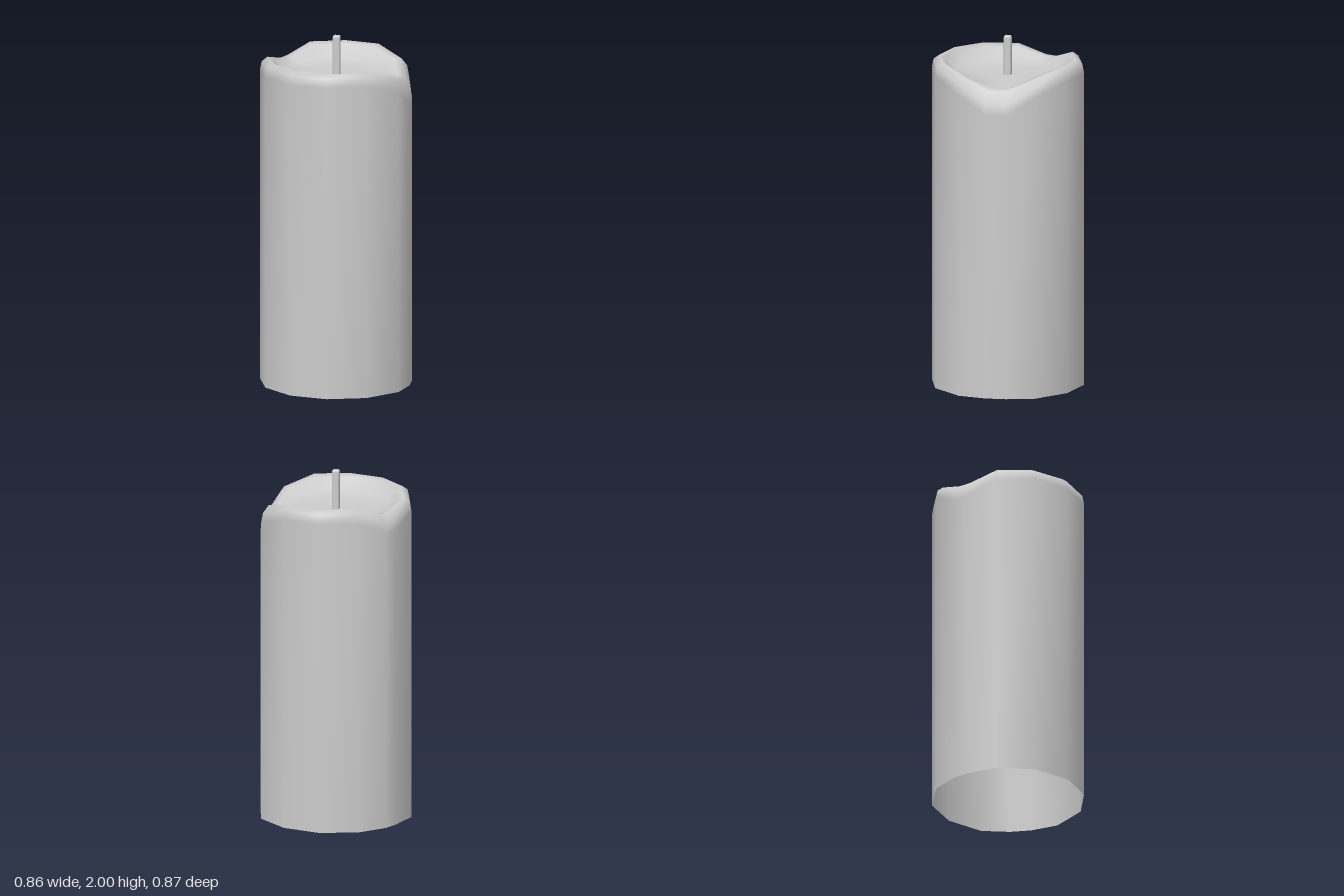
import * as THREE from 'three';
import { RoundedBoxGeometry } from 'three/addons/geometries/RoundedBoxGeometry.js';

// Outline corners seen from above: x, z, and how far the melted rim sags there
const OUTLINE = [
  [0.005, -0.435, 0], [0.22, -0.375, 0], [0.385, -0.22, 0.045],
  [0.425, -0.06, 0.11], [0.425, 0.06, 0.11], [0.385, 0.215, 0.045],
  [0.225, 0.375, 0], [0.005, 0.432, 0], [-0.21, 0.375, 0],
  [-0.37, 0.215, 0], [-0.43, 0, 0.01], [-0.375, -0.18, 0.055],
  [-0.34, -0.25, 0.055], [-0.21, -0.375, 0],
];

// Rings from the open foot, over the rim and into the bowl: scale, height, share of sag
const RINGS = [
  [1, 0, 0], [1, 1.8, 1.5], [0.977, 1.85, 1.45], [0.9, 1.873, 1],
  [0.82, 1.86, 0.8], [0.7, 1.795, 0.2], [0.4, 1.78, 0],
];

function createWaxGeometry() {
  const n = OUTLINE.length;
  const positions = [];
  const index = [];
  for (const [scale, height, share] of RINGS) {
    for (const [x, z, sag] of OUTLINE) {
      positions.push(x * scale, height - sag * share, z * scale);
    }
  }
  // Walls between neighbouring rings
  for (let r = 0; r < RINGS.length - 1; r++) {
    for (let i = 0; i < n; i++) {
      const a = r * n + i;
      const b = r * n + ((i + 1) % n);
      index.push(a, a + n, b, b, a + n, b + n);
    }
  }
  // Bowl floor
  const centre = RINGS.length * n;
  positions.push(0.005, 1.775, 0);
  for (let i = 0; i < n; i++) {
    index.push(centre - n + i, centre, centre - n + ((i + 1) % n));
  }
  const geometry = new THREE.BufferGeometry();
  geometry.setAttribute('position', new THREE.Float32BufferAttribute(positions, 3));
  geometry.setIndex(index);
  geometry.computeVertexNormals();
  return geometry;
}

export function createModel() {
  const group = new THREE.Group();
  group.name = 'candle';

  // Wax pillar, open underneath
  const wax = new THREE.Mesh(
    createWaxGeometry(),
    new THREE.MeshStandardMaterial({ color: 0xcccccc, side: THREE.DoubleSide }),
  );
  wax.name = 'waxBody';
  group.add(wax);

  // Wick with softened edges
  const wick = new THREE.Mesh(
    new RoundedBoxGeometry(0.042, 0.24, 0.042, 2, 0.01),
    new THREE.MeshStandardMaterial({ color: 0xcccccc }),
  );
  wick.name = 'wick';
  wick.position.set(0.005, 1.88, 0);
  group.add(wick);

  return group;
}
